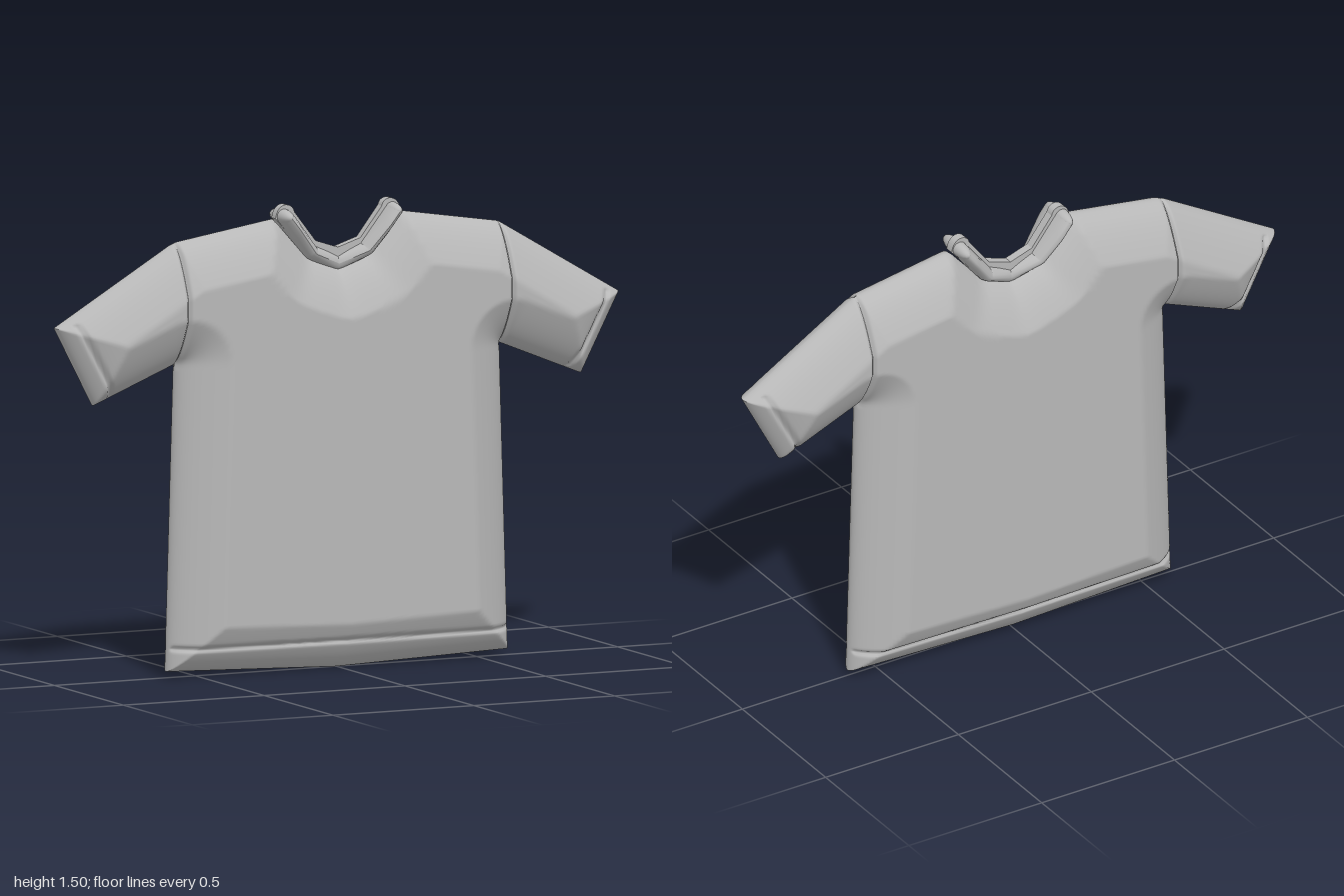
import * as THREE from 'three';

const fabric = new THREE.MeshStandardMaterial({ color: 0xb8b8b8, side: THREE.DoubleSide });
fabric.name = 'grey fabric';

// Half outline of the shirt, mirrored into a closed loop
const half = [[0, 0], [0.605, 0.02], [0.575, 1.01], [0.865, 0.893], [1, 1.15],
  [0.575, 1.4], [0.225, 1.455], [0.11, 1.325], [0, 1.285]];
const outline = [...half, ...half.slice(1, -1).reverse().map(([x, y]) => [-x, y])];

function segmentDistance(x, y, a, b) {
  const dx = b[0] - a[0], dy = b[1] - a[1];
  const t = Math.min(1, Math.max(0, ((x - a[0]) * dx + (y - a[1]) * dy) / (dx * dx + dy * dy)));
  return Math.hypot(x - a[0] - t * dx, y - a[1] - t * dy);
}

// Padded thickness grows from the outline, with stitched grooves pressed in
const seams = [[[-0.59, 0.095], [0.59, 0.095]]];
for (const s of [-1, 1]) {
  seams.push([[s * 0.575, 1.01], [s * 0.575, 1.4]]);
  seams.push([[s * 0.815, 0.925], [s * 0.94, 1.155]]);
}
function thickness(x, y) {
  let d = Infinity;
  outline.forEach((p, i) => { d = Math.min(d, segmentDistance(x, y, p, outline[(i + 1) % outline.length])); });
  let h = 0.12 * Math.pow(Math.min(d / 0.15, 1), 0.55);
  for (const [a, b] of seams) {
    const g = segmentDistance(x, y, a, b);
    h -= Math.min(h, 0.014) * Math.exp(-((g / 0.007) ** 2));
  }
  return Math.max(0, h);
}

// Front and back sheets over a mapped grid
function paddedPanel(map, nu, nv, mirrored) {
  const position = [], index = [];
  for (const side of [1, -1]) {
    const base = position.length / 3;
    for (let j = 0; j <= nv; j++) {
      for (let i = 0; i <= nu; i++) {
        const [x, y] = map(i / nu, j / nv);
        position.push(x, y, side * thickness(x, y));
      }
    }
    for (let j = 0; j < nv; j++) {
      for (let i = 0; i < nu; i++) {
        const a = base + j * (nu + 1) + i, b = a + 1, c = a + nu + 1, d = c + 1;
        if ((side > 0) !== mirrored) index.push(a, b, d, a, d, c);
        else index.push(a, d, b, a, c, d);
      }
    }
  }
  const geo = new THREE.BufferGeometry();
  geo.setAttribute('position', new THREE.Float32BufferAttribute(position, 3));
  geo.setIndex(index);
  geo.computeVertexNormals();
  return geo;
}

const ease = t => (1 - Math.cos(Math.PI * t)) / 2;
const lerp = THREE.MathUtils.lerp;

// Height of the shoulder and neckline at x
function topEdge(x) {
  const pts = half.slice(5);
  for (let i = 0; i < pts.length - 1; i++) {
    const [x1, y1] = pts[i], [x0, y0] = pts[i + 1];
    if (x >= x0) return lerp(y0, y1, (x - x0) / (x1 - x0));
  }
  return 1.285;
}

function bodyMap(a, b) {
  const u = Math.sin((a * 2 - 1) * Math.PI / 2);
  const y = lerp(0.02 * Math.abs(u), topEdge(Math.abs(u) * 0.575), ease(b));
  return [u * (0.575 + 0.03 * Math.max(0, (1.01 - y) / 0.99)), y];
}

const sleeveMap = s => (a, b) => {
  const t = ease(a), v = ease(b);
  return [s * lerp(0.575, lerp(0.865, 1, v), t),
    lerp(lerp(1.01, 1.4, v), lerp(0.893, 1.15, v), t)];
};

export function createModel() {
  const group = new THREE.Group();
  group.name = 'shirt';
  const add = (name, geo) => {
    const mesh = new THREE.Mesh(geo, fabric);
    mesh.name = name;
    group.add(mesh);
    return mesh;
  };

  add('body', paddedPanel(bodyMap, 100, 170, false));
  add('leftSleeve', paddedPanel(sleeveMap(1), 56, 50, false));
  add('rightSleeve', paddedPanel(sleeveMap(-1), 56, 50, true));

  // Collar band, deeper towards the shoulders
  const path = new THREE.CurvePath();
  const neck = [[-0.192, 1.462], [-0.095, 1.34], [0, 1.3], [0.095, 1.34], [0.192, 1.462]]
    .map(([x, y]) => new THREE.Vector3(x, y, 0));
  for (let i = 0; i < 4; i++) path.add(new THREE.LineCurve3(neck[i], neck[i + 1]));
  const band = new THREE.TubeGeometry(path, 64, 0.025, 16);
  const p = band.attributes.position;
  for (let i = 0; i < p.count; i++) {
    p.setZ(i, p.getZ(i) * (1 + 2 * Math.min(1, Math.abs(p.getX(i)) / 0.16)));
  }
  band.computeVertexNormals();
  add('collarBand', band);
  for (const s of [-1, 1]) {
    const end = add('collarEnd', new THREE.SphereGeometry(0.025, 20, 14));
    end.position.set(s * 0.192, 1.462, 0);
    end.scale.z = 3;
  }

  // Thin inner collar rising above the band
  const inner = new THREE.Shape();
  inner.moveTo(0, 1.29);
  inner.lineTo(0.11, 1.33);
  inner.lineTo(0.222, 1.457);
  inner.quadraticCurveTo(0.215, 1.498, 0.185, 1.5);
  inner.quadraticCurveTo(0.16, 1.498, 0.155, 1.475);
  inner.lineTo(0.08, 1.378);
  inner.lineTo(0, 1.352);
  inner.lineTo(-0.08, 1.378);
  inner.lineTo(-0.155, 1.475);
  inner.quadraticCurveTo(-0.16, 1.498, -0.185, 1.5);
  inner.quadraticCurveTo(-0.215, 1.498, -0.222, 1.457);
  inner.lineTo(-0.11, 1.33);
  inner.closePath();
  const plate = new THREE.ExtrudeGeometry(inner, { depth: 0.03, bevelEnabled: false, curveSegments: 8 });
  plate.translate(0, 0, -0.015);
  add('innerCollar', plate);

  return group;
}
